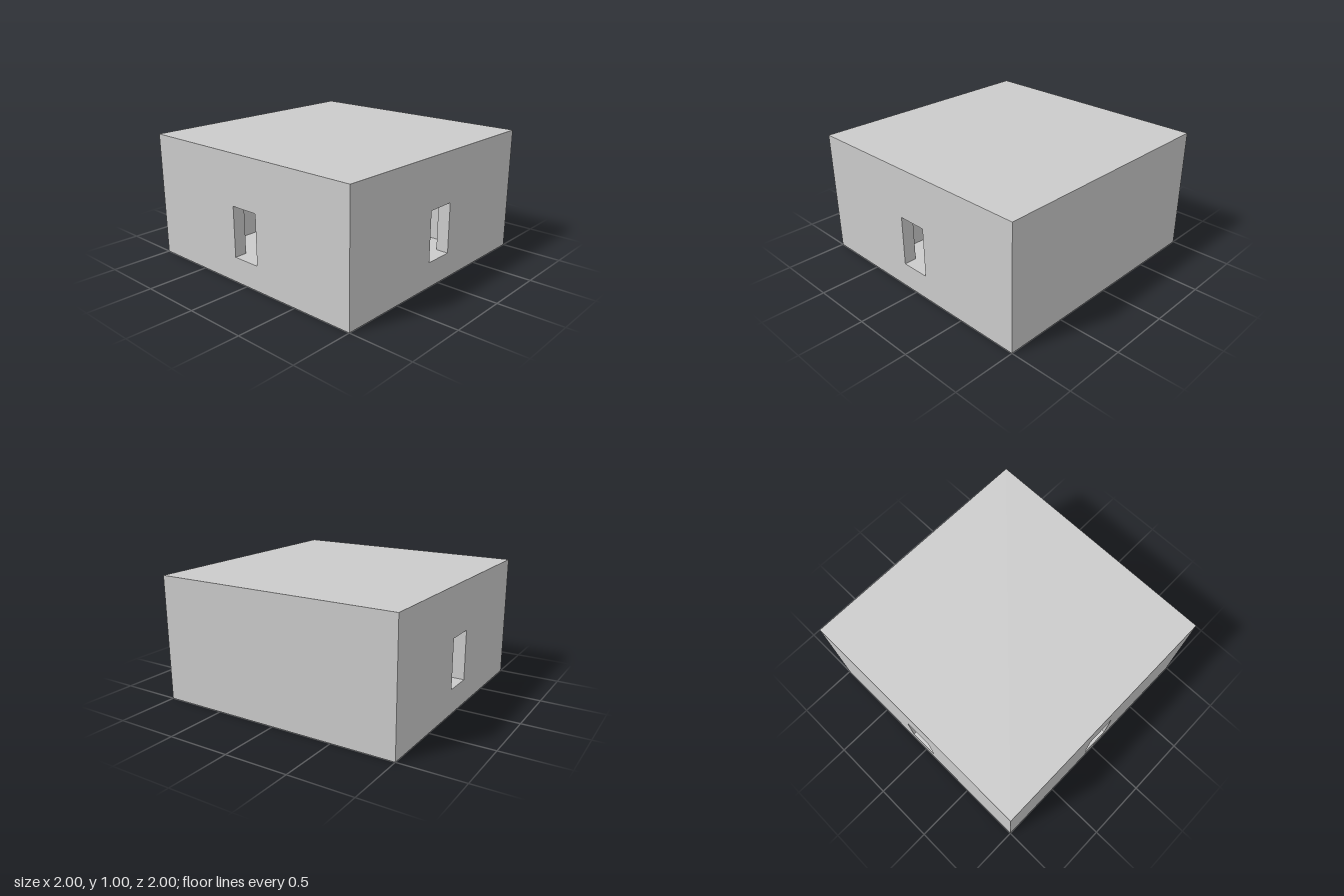
import * as THREE from 'three';

const material = new THREE.MeshStandardMaterial({ color: 0xcccccc, flatShading: true });
const W = 0.12, SILL = 0.2, HEAD = 0.6, CEILING = 0.9; // window half width and heights

const toShape = (points) => new THREE.Shape(points.map(([x, y]) => new THREE.Vector2(x, y)));

export function createModel() {
  const group = new THREE.Group();

  const add = (name, geometry) => {
    const mesh = new THREE.Mesh(geometry, material);
    mesh.name = name;
    group.add(mesh);
  };

  // Upright panel from plan point a to b [x, z]; it faces the viewer who sees a on the left.
  const panel = (name, a, b, y0, y1, opening) => {
    const dx = b[0] - a[0], dz = b[1] - a[1], h = Math.hypot(dx, dz) / 2;
    const outline = [[-h, y0]];
    if (opening === 'notch') outline.push([-W, y0], [-W, HEAD], [W, HEAD], [W, y0]);
    outline.push([h, y0], [h, y1], [-h, y1]);
    const shape = toShape(outline);
    if (opening === 'hole') shape.holes.push(toShape([[-W, SILL], [-W, HEAD], [W, HEAD], [W, SILL]]));
    const geometry = new THREE.ShapeGeometry(shape);
    geometry.rotateY(Math.atan2(-dz, dx));
    geometry.translate((a[0] + b[0]) / 2, 0, (a[1] + b[1]) / 2);
    add(name, geometry);
  };

  // Flat slab surface from a plan outline, facing up or down.
  const level = (name, points, y, up) => {
    const geometry = new THREE.ShapeGeometry(toShape(points.map(([x, z]) => [x, up ? -z : z])));
    geometry.rotateX(up ? -Math.PI / 2 : Math.PI / 2);
    geometry.translate(0, y, 0);
    add(name, geometry);
  };

  // Outer block
  const outer = [[-1, 1], [1, 1], [1, -1], [-1, -1]];
  ['frontWall', 'leftWall', 'backWall', 'rightWall'].forEach((name, i) =>
    panel(name, outer[i], outer[(i + 1) % 4], 0, 1, name === 'backWall' ? null : 'hole'));
  level('roof', outer, 1, true);
  level('base', outer, 0, false);

  // T-shaped inner passage; the end walls hold the windows
  const inner = [[0.4, 0.9], [-0.4, 0.9], [-0.4, 0.3], [-0.9, 0.3],
    [-0.9, -0.3], [0.9, -0.3], [0.9, 0.3], [0.4, 0.3]];
  const windowEdges = [0, 3, 5];
  const floor = [];
  inner.forEach((a, i) => {
    const b = inner[(i + 1) % inner.length];
    const isWindow = windowEdges.includes(i);
    panel('innerWall', a, b, SILL, CEILING, isWindow ? 'notch' : null);
    floor.push(a);
    if (!isWindow) return;
    // Window reveal: two jambs and the underside of the lintel
    const length = Math.hypot(b[0] - a[0], b[1] - a[1]);
    const u = [(b[0] - a[0]) / length, (b[1] - a[1]) / length];
    const out = [u[1] * 0.1, -u[0] * 0.1];
    const mid = [(a[0] + b[0]) / 2, (a[1] + b[1]) / 2];
    const at = (s, t) => [mid[0] + u[0] * s + out[0] * t, mid[1] + u[1] * s + out[1] * t];
    const reveal = [at(-W, 0), at(-W, 1), at(W, 1), at(W, 0)];
    panel('windowJamb', reveal[0], reveal[1], SILL, HEAD);
    panel('windowJamb', reveal[2], reveal[3], SILL, HEAD);
    level('windowLintel', reveal, HEAD, false);
    floor.push(...reveal);
  });
  level('passageFloor', floor, SILL, true); // runs out through the window sills
  level('passageCeiling', inner, CEILING, false);

  return group;
}
